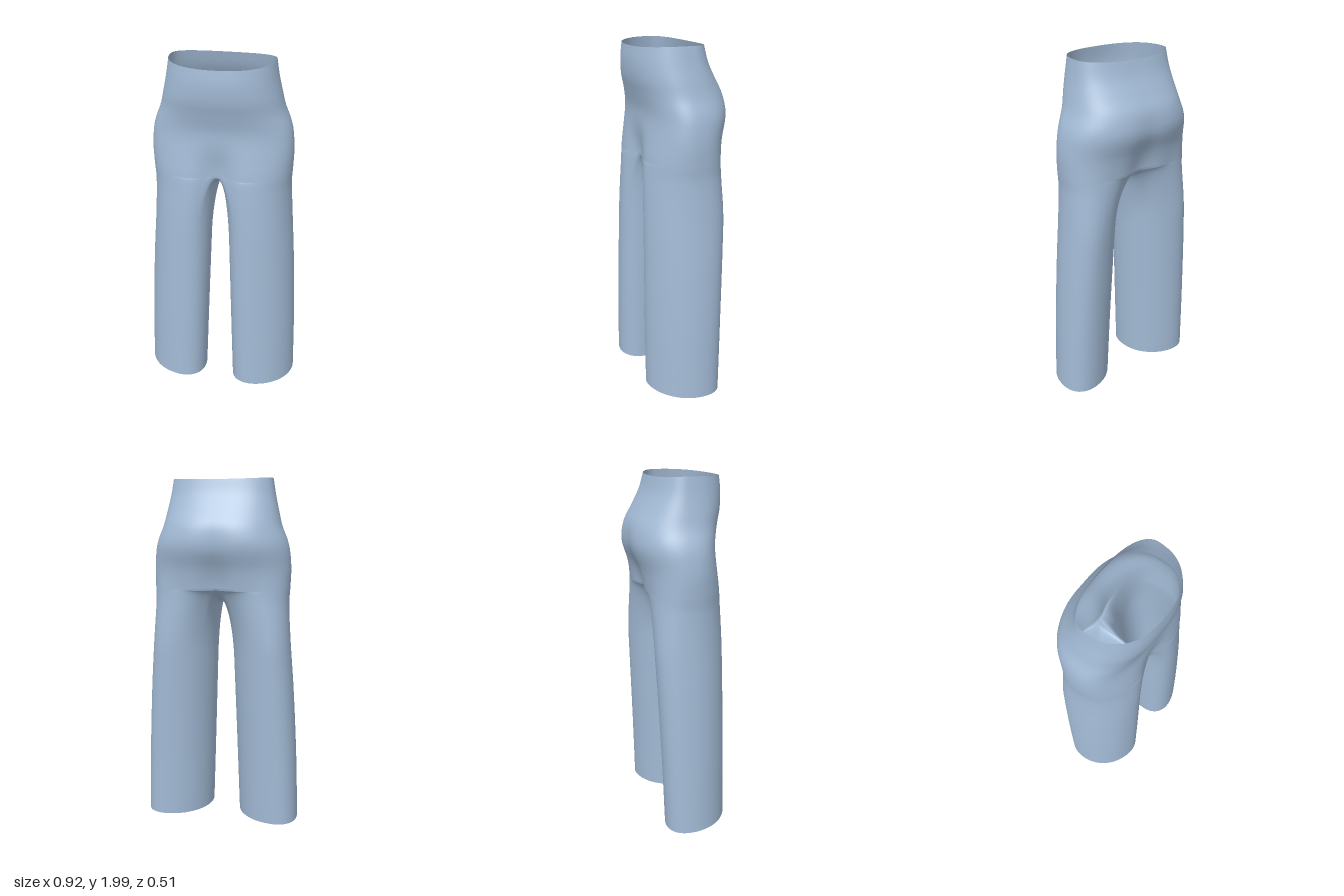
import * as THREE from 'three';
import { mergeVertices } from 'three/addons/utils/BufferGeometryUtils.js';

// Outline by height: y, half width, front z, back z
const OUTLINE = [
  [0, 0.46, 0.255, -0.13], [0.4, 0.447, 0.252, -0.143], [0.8, 0.425, 0.246, -0.16],
  [1.1, 0.402, 0.241, -0.175], [1.3, 0.39, 0.238, -0.19], [1.4, 0.394, 0.235, -0.2],
  [1.5, 0.396, 0.222, -0.217], [1.6, 0.387, 0.21, -0.25], [1.66, 0.372, 0.213, -0.256],
  [1.74, 0.34, 0.232, -0.24], [1.82, 0.32, 0.253, -0.195], [1.91, 0.3, 0.26, -0.148], [2, 0.285, 0.252, -0.12],
];
const OUTER = 56, INNER = 24, COLS = OUTER + INNER; // columns round one leg
const LEG_ROWS = 60, HIP_ROWS = 34, RISE = 1.38, CROTCH = 1.31;

const smooth = (x, a, b) => THREE.MathUtils.smoothstep(x, a, b);
const power = (v, p) => Math.sign(v) * Math.abs(v) ** p;

// Smooth (Hermite) lookup in the outline table
function outline(y) {
  let i = 0;
  while (i < OUTLINE.length - 2 && y > OUTLINE[i + 1][0]) i++;
  const last = OUTLINE.length - 1, a = OUTLINE[i], b = OUTLINE[i + 1];
  const h = b[0] - a[0], s = THREE.MathUtils.clamp((y - a[0]) / h, 0, 1);
  const slope = (j, k) => {
    const p = OUTLINE[Math.max(j - 1, 0)], n = OUTLINE[Math.min(j + 1, last)];
    return (n[k] - p[k]) / (n[0] - p[0]);
  };
  return [1, 2, 3].map(k => a[k] * (1 + 2 * s) * (1 - s) ** 2 + b[k] * s * s * (3 - 2 * s)
    + h * s * (1 - s) * ((1 - s) * slope(i, k) - s * slope(i + 1, k)));
}

// Half of the hip section, t = 0 front centre to 1 back centre
function hipPoint(t, y) {
  const [w, front, back] = outline(y), angle = Math.PI * (0.5 - t), zc = 0.01;
  const x = t === 0 || t === 1 ? 0 : w * power(Math.cos(angle), 2 / 2.35);
  const s = power(Math.sin(angle), 2 / 2.35);
  let z = zc + (s > 0 ? front - zc : zc - back) * s;
  const centre = Math.exp(-((x / 0.09) ** 2));
  z *= 1 - 0.2 * centre * (1 - smooth(y, RISE, 1.62));            // fold above the crotch
  if (s < 0) z += 0.012 * centre * Math.exp(-(((y - 1.62) / 0.12) ** 2)); // seat dent
  return [x, z];
}

// Closed leg section, slightly skewed so the outside sits further back
function legPoint(angle, y) {
  const [w, front, back] = outline(y), inner = 0.09 - 0.034 * y;
  const rx = (w - inner) / 2, skew = 0.055, rz = Math.sqrt(((front - back) / 2) ** 2 - skew ** 2);
  const c = power(Math.cos(angle), 0.93), s = power(Math.sin(angle), 0.93);
  return [inner + rx + rx * c, (front + back) / 2 + rz * s - skew * c];
}

// Height at which a column reaches the top of the leg; the inner ones follow the crotch curve
function legTop(col) {
  if (col <= OUTER) return RISE;
  const v = 2 * (col - OUTER) / INNER - 1;
  return CROTCH + (RISE - CROTCH) * v * v;
}

// Blends the hip section into the leg section
function surfacePoint(col, y) {
  const isOuter = col <= OUTER, t = isOuter ? col / OUTER : (col - OUTER) / INNER;
  let hip;
  if (isOuter) hip = hipPoint(t, y);
  else hip = [0, THREE.MathUtils.lerp(hipPoint(1, y)[1], hipPoint(0, y)[1], t)];
  const angle = Math.PI * (isOuter ? 0.75 - 1.5 * t : -0.75 - 0.5 * t);
  const leg = legPoint(angle, y);
  const q = THREE.MathUtils.clamp((legTop(col) - y) / 0.35, 0, 1);
  const arch = Math.sqrt(1 - (1 - q) ** 2);
  const away = isOuter ? smooth(Math.min(t, 1 - t), 0, 0.25) : 0;
  const k = THREE.MathUtils.lerp(arch, 1 - smooth(y, 1.0, 1.58), away);
  return [THREE.MathUtils.lerp(hip[0], leg[0], k), y, THREE.MathUtils.lerp(hip[1], leg[1], k)];
}

function trousersGeometry() {
  const positions = [], index = [];

  // Adds a grid of points for one side (side = 1 or -1)
  function addGrid(cols, rows, side, pointAt) {
    const base = positions.length / 3;
    for (let r = 0; r <= rows; r++) {
      for (let c = 0; c <= cols; c++) {
        const [x, y, z] = pointAt(c, r / rows);
        positions.push(side * x, y, z);
      }
    }
    for (let r = 0; r < rows; r++) {
      for (let c = 0; c < cols; c++) {
        const a = base + r * (cols + 1) + c, b = a + 1, d = a + cols + 1, e = d + 1;
        if (side > 0) index.push(a, b, e, a, e, d);
        else index.push(a, e, b, a, d, e);
      }
    }
  }

  for (const side of [1, -1]) {
    // Leg, hem to crotch, with rows closer together near the crotch
    addGrid(COLS, LEG_ROWS, side, (c, r) => {
      const col = c % COLS, top = legTop(col);
      const hem = 0.006 + 0.04 * Math.max(surfacePoint(col, 0)[2] + 0.1, 0);
      return surfacePoint(col, top - (top - hem) * (1 - r) ** 1.7);
    });
    // Hip, crotch to waist, with a slight dip at the middle of the waistline
    addGrid(OUTER, HIP_ROWS, side, (c, r) => {
      const waist = 2 - 0.01 * Math.abs(Math.cos(Math.PI * c / OUTER)) ** 2;
      return surfacePoint(c, RISE + (waist - RISE) * r);
    });
  }

  const geometry = new THREE.BufferGeometry();
  geometry.setAttribute('position', new THREE.Float32BufferAttribute(positions, 3));
  geometry.setIndex(index);
  const merged = mergeVertices(geometry, 1e-5);
  merged.computeVertexNormals();
  return merged;
}

export function createModel() {
  const model = new THREE.Group();
  model.name = 'trousers';
  const cloth = new THREE.MeshStandardMaterial({ color: 0xa3bbd6, side: THREE.DoubleSide });
  const mesh = new THREE.Mesh(trousersGeometry(), cloth);
  mesh.name = 'trouserCloth';
  model.add(mesh);
  return model;
}
